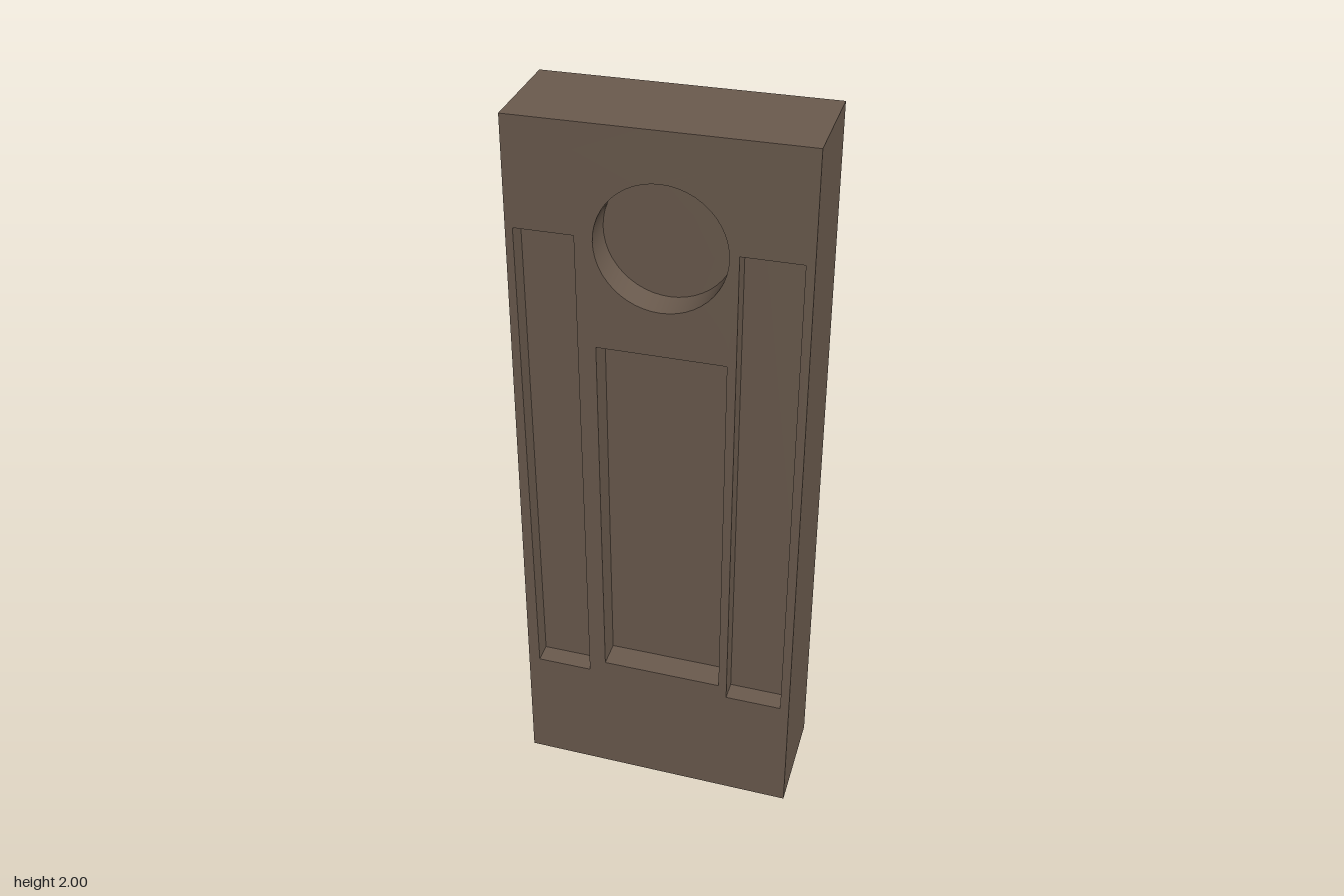
import * as THREE from 'three';
import { toCreasedNormals } from 'three/addons/utils/BufferGeometryUtils.js';

const BACK = -0.15;

// The front leans out slightly towards its lower left corner
const frontZ = (x, y) => 0.132 + 0.02 * (1 - y / 2) * (x + 0.385) / 0.77;

// Clockwise outlines, so that ruled walls face inwards
const rect = (x0, x1, y0, y1) => [[x0, y0], [x0, y1], [x1, y1], [x1, y0]];
const circle = (cx, cy, r, n = 48) => Array.from({ length: n }, (_, i) => {
  const a = -i / n * Math.PI * 2;
  return [cx + r * Math.cos(a), cy + r * Math.sin(a)];
});

// Flat sheet that follows the front at a given depth
function sheet(outline, holes = [], depth = 0) {
  const vectors = (pts) => pts.map(([x, y]) => new THREE.Vector2(x, y));
  const shape = new THREE.Shape(vectors(outline));
  shape.holes = holes.map((h) => new THREE.Path(vectors(h)));
  const geo = new THREE.ShapeGeometry(shape);
  const p = geo.attributes.position;
  for (let i = 0; i < p.count; i++) p.setZ(i, frontZ(p.getX(i), p.getY(i)) - depth);
  return toCreasedNormals(geo, 0.5);
}

// Walls running back from an outline on the front
function walls(outline, backZ, closed) {
  const pos = [], index = [], n = outline.length;
  for (const [x, y] of outline) pos.push(x, y, frontZ(x, y), x, y, backZ(x, y));
  for (let i = 0; i < (closed ? n : n - 1); i++) {
    const a = 2 * i, b = 2 * ((i + 1) % n);
    index.push(a, a + 1, b + 1, a, b + 1, b);
  }
  const geo = new THREE.BufferGeometry();
  geo.setAttribute('position', new THREE.Float32BufferAttribute(pos, 3));
  geo.setIndex(index);
  geo.computeVertexNormals();
  return toCreasedNormals(geo, 0.5);
}

export function createModel() {
  const model = new THREE.Group();
  model.name = 'recessedPanel';
  const brown = new THREE.MeshStandardMaterial({ color: 0x6b5b4e, side: THREE.DoubleSide });
  brown.name = 'brown';
  const add = (parent, name, geo) => {
    const mesh = new THREE.Mesh(geo, brown);
    mesh.name = name;
    parent.add(mesh);
  };

  const recesses = [
    { name: 'rightSlot', outline: rect(-0.35, -0.197, 0.347, 1.715), depth: 0.055 },
    { name: 'leftSlot', outline: rect(0.205, 0.36, 0.347, 1.715), depth: 0.055 },
    { name: 'centrePanel', outline: rect(-0.15, 0.182, 0.385, 1.418), depth: 0.075 },
    { name: 'roundRecess', outline: circle(0.015, 1.705, 0.166), depth: 0.085 },
  ];

  // Front face and the shell of sides and top, open at the back and bottom
  const outer = [[0.385, 0], [0.382, 2], [-0.367, 2], [-0.385, 0]];
  add(model, 'frontFace', sheet(outer, recesses.map((r) => r.outline)));
  add(model, 'sidesAndTop', walls(outer, () => BACK, false));

  // Sunken pockets
  for (const { name, outline, depth } of recesses) {
    const group = new THREE.Group();
    group.name = name;
    add(group, name + 'Walls', walls(outline, (x, y) => frontZ(x, y) - depth, true));
    add(group, name + 'Floor', sheet(outline, [], depth));
    model.add(group);
  }
  return model;
}
